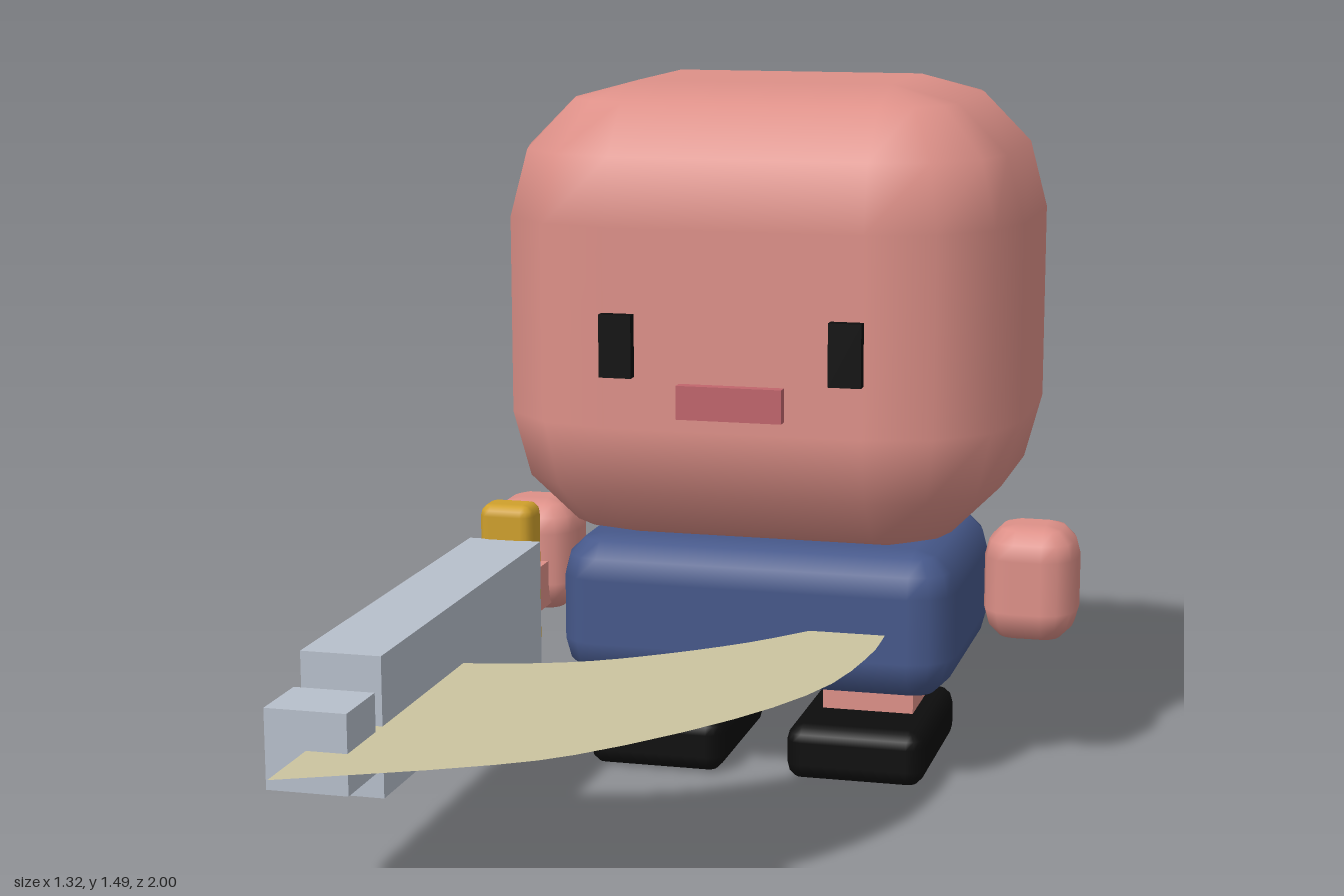
import * as THREE from 'three';

const mat = (name, color) => {
  const m = new THREE.MeshStandardMaterial({ color });
  m.name = name;
  return m;
};

// Box given by its min and max corners, with edges rounded in 30 degree steps
function roundedBox([x0, y0, z0], [x1, y1, z1], r) {
  const STEPS = 3, N = STEPS + 1, COLS = 4 * N, ROWS = 2 * N + 1;
  const geo = new THREE.PlaneGeometry(1, 1, COLS, ROWS);
  const pos = geo.attributes.position, nor = geo.attributes.normal;
  const hx = (x1 - x0) / 2 - r, hy = (y1 - y0) / 2 - r, hz = (z1 - z0) / 2 - r;
  const quarter = Math.PI / 2, dir = new THREE.Vector3();
  for (let j = 0; j <= ROWS; j++) {
    // First and last rows collapse to the middle of the flat caps
    const cap = j === 0 || j === ROWS;
    const k = THREE.MathUtils.clamp(j - 1, 0, 2 * N - 1);
    const upper = k < N;
    const polar = (upper ? k : k - 1) / STEPS * quarter;
    for (let i = 0; i <= COLS; i++) {
      const q = Math.floor(i / N) % 4;
      const lon = (q + (i % N) / STEPS) * quarter;
      dir.set(Math.sin(polar) * Math.sin(lon), Math.cos(polar), Math.sin(polar) * Math.cos(lon));
      const sx = cap ? 0 : q < 2 ? 1 : -1;
      const sz = cap ? 0 : q === 0 || q === 3 ? 1 : -1;
      const v = j * (COLS + 1) + i;
      pos.setXYZ(v, sx * hx + r * dir.x, (upper ? hy : -hy) + r * dir.y, sz * hz + r * dir.z);
      nor.setXYZ(v, dir.x, dir.y, dir.z);
    }
  }
  return geo.translate((x0 + x1) / 2, (y0 + y1) / 2, (z0 + z1) / 2);
}

// Sharp box given by its min and max corners
const box = (a, b) => new THREE.BoxGeometry(b[0] - a[0], b[1] - a[1], b[2] - a[2])
  .translate((a[0] + b[0]) / 2, (a[1] + b[1]) / 2, (a[2] + b[2]) / 2);

export function createModel() {
  const group = new THREE.Group();
  group.name = 'swordFighter';

  const skin = mat('skin', 0xdd9088);
  const blue = mat('blue shirt', 0x46588a);
  const black = mat('black', 0x0d0d0d);
  const pink = mat('mouth pink', 0xc0656c);
  const steel = mat('steel', 0xb7bfcb);
  const gold = mat('gold', 0xcfa02c);
  const sand = mat('slash sand', 0xcbc49f);
  sand.side = THREE.DoubleSide;

  const add = (name, geo, material) => {
    const mesh = new THREE.Mesh(geo, material);
    mesh.name = name;
    group.add(mesh);
  };

  // Head, mouth and body
  add('head', roundedBox([-0.55, 0.51, -1], [0.55, 1.485, -0.1], 0.28), skin);
  add('mouth', box([-0.11, 0.82, -0.12], [0.11, 0.89, -0.075], ), pink);
  add('body', roundedBox([-0.43, 0.195, -0.845], [0.43, 0.515, -0.25], 0.09), blue);

  // Paired parts
  for (const [side, s] of [['left', 1], ['right', -1]]) {
    const span = (a, b, y0, y1, z0, z1) => [
      [Math.min(s * a, s * b), y0, z0], [Math.max(s * a, s * b), y1, z1]];
    add(side + 'Eye', box(...span(0.205, 0.273, 0.9, 1.03, -0.12, -0.075)), black);
    add(side + 'Hand', roundedBox(...span(0.46, 0.66, 0.285, 0.54, -0.65, -0.455), 0.07), skin);
    add(side + 'Leg', box(...span(0.12, 0.32, 0.08, 0.25, -0.645, -0.45)), skin);
    add(side + 'Foot', roundedBox(...span(0.07, 0.37, 0, 0.12, -0.71, -0.29), 0.035), black);
  }

  // Sword held forward in the right hand
  add('swordHandle', box([-0.61, 0.31, -0.5], [-0.51, 0.41, -0.38]), skin);
  add('swordGuard', roundedBox([-0.62, 0.148, -0.395], [-0.5, 0.565, -0.305], 0.025), gold);
  add('swordBlade', box([-0.64, 0.215, -0.31], [-0.48, 0.49, 0.645]), steel);
  add('swordTip', box([-0.64, 0.275, 0.68], [-0.48, 0.43, 0.82]), steel);

  // Flat curved slash trail, outlined as [x, z]
  const curve = (pts) => new THREE.SplineCurve(pts.map(([x, z]) => new THREE.Vector2(x, -z))).getPoints(16);
  const outer = curve([[-0.56, 0.995], [-0.23, 0.83], [-0.06, 0.7], [0.14, 0.44], [0.26, 0.19], [0.3, -0.06], [0.3, -0.22]]);
  const inner = curve([[0.14, -0.22], [0.03, -0.09], [-0.12, 0.04], [-0.26, 0.13], [-0.42, 0.185], [-0.56, 0.205]]);
  const trail = new THREE.ShapeGeometry(new THREE.Shape([...outer, ...inner]));
  add('slashTrail', trail.rotateX(-Math.PI / 2).translate(0, 0.355, 0), sand);

  return group;
}
